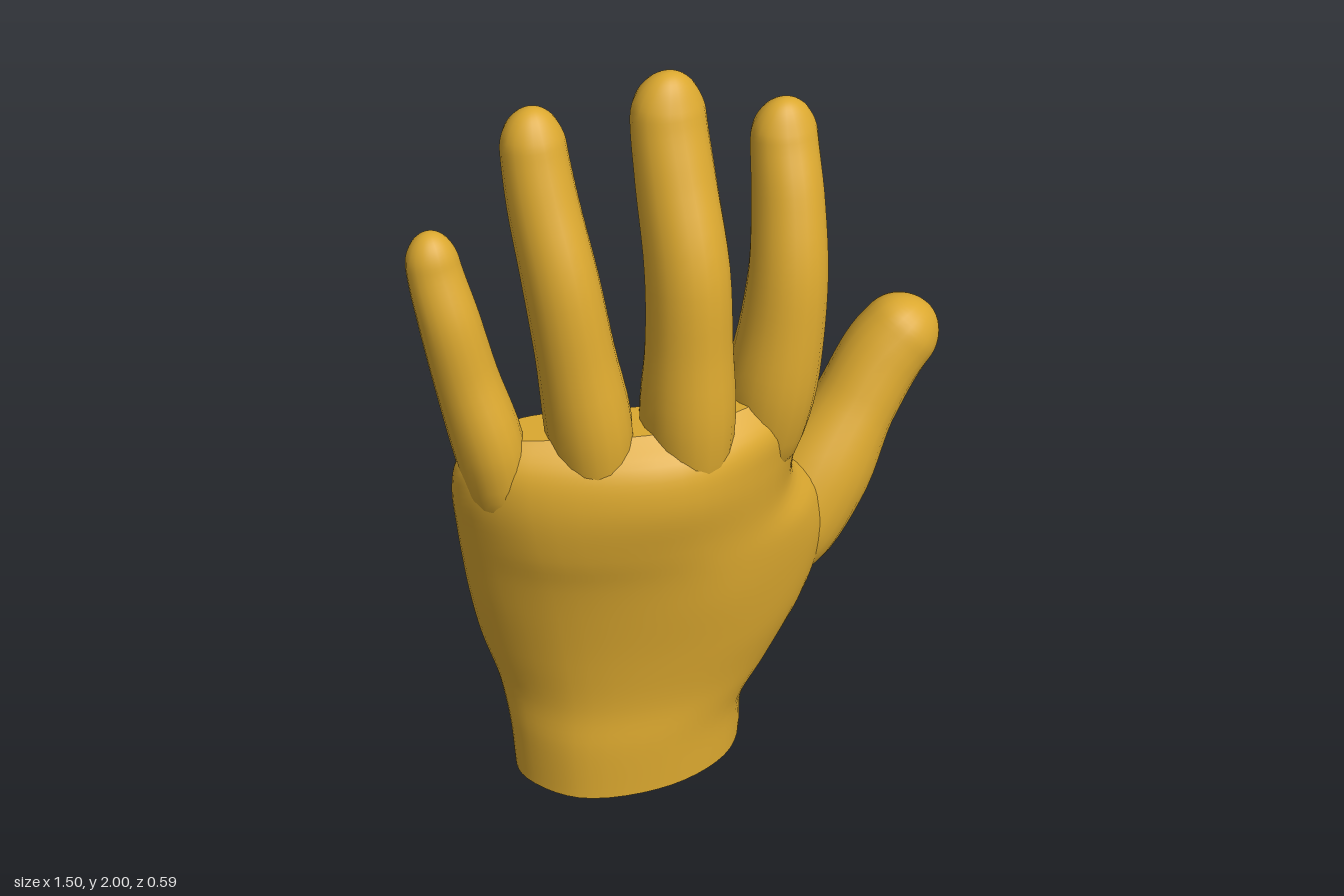
import * as THREE from 'three';

// Skins a stack of equal-length rings with smooth normals; optional cap on the last ring
function loft(rings, capTop) {
  const n = rings[0].length, pos = [], idx = [];
  rings.forEach(r => r.forEach(p => pos.push(p.x, p.y, p.z)));
  for (let i = 0; i < rings.length - 1; i++) {
    for (let j = 0; j < n; j++) {
      const a = i * n + j, b = i * n + (j + 1) % n;
      idx.push(a, b, b + n, a, b + n, a + n);
    }
  }
  if (capTop) addCap(pos, idx, rings[rings.length - 1], false);
  return makeGeometry(pos, idx);
}

// Flat fan with its own vertices, so the rim stays sharp
function addCap(pos, idx, ring, down) {
  const base = pos.length / 3, n = ring.length;
  const mid = ring.reduce((s, p) => s.add(p), new THREE.Vector3()).divideScalar(n);
  ring.forEach(p => pos.push(p.x, p.y, p.z));
  pos.push(mid.x, mid.y, mid.z);
  for (let j = 0; j < n; j++) {
    const a = base + j, b = base + (j + 1) % n;
    if (down) idx.push(base + n, b, a);
    else idx.push(base + n, a, b);
  }
}

function makeGeometry(pos, idx) {
  const g = new THREE.BufferGeometry();
  g.setAttribute('position', new THREE.Float32BufferAttribute(pos, 3));
  g.setIndex(idx);
  g.computeVertexNormals();
  return g;
}

// Rounded digit along stations of [x, y, z, half width, half depth]
function digit(stations, tipLength) {
  const path = new THREE.CatmullRomCurve3(stations.map(s => new THREE.Vector3(s[0], s[1], s[2])));
  const size = new THREE.CatmullRomCurve3(stations.map(s => new THREE.Vector3(s[3], s[4], 0)));
  const end = path.getPoint(1), rings = [], rows = 40, sides = 20;
  for (let i = 0; i <= rows; i++) {
    const t = 1 - (1 - i / rows) ** 1.8;
    const c = path.getPoint(t), tan = path.getTangent(t), r = size.getPoint(t);
    const side = new THREE.Vector3(1, 0, 0).addScaledVector(tan, -tan.x).normalize();
    const front = new THREE.Vector3().crossVectors(side, tan);
    const d = Math.min(1, c.distanceTo(end) / tipLength);
    const k = Math.max(0.001, Math.sqrt(1 - (1 - d) ** 2));
    rings.push(Array.from({ length: sides }, (_, j) => {
      const a = j / sides * Math.PI * 2;
      return c.clone().addScaledVector(side, Math.cos(a) * r.x * k)
        .addScaledVector(front, -Math.sin(a) * r.y * k);
    }));
  }
  return loft(rings, false);
}

// Palm rows: y, left x, right x, side z (2), knuckle-side z (3), palm-side z (4)
const PALM = [
  [0.00, -0.535, 0.115, -0.02, -0.04, 0.14, 0.20, 0.13, -0.18, -0.22, -0.23, -0.18],
  [0.15, -0.54, 0.13, -0.04, -0.04, 0.13, 0.20, 0.13, -0.20, -0.22, -0.23, -0.21],
  [0.27, -0.55, 0.25, -0.07, -0.09, 0.12, 0.20, 0.11, -0.27, -0.25, -0.27, -0.26],
  [0.42, -0.59, 0.36, -0.09, -0.09, 0.12, 0.22, 0.11, -0.30, -0.245, -0.285, -0.28],
  [0.58, -0.625, 0.40, -0.08, -0.07, 0.13, 0.245, 0.12, -0.26, -0.175, -0.22, -0.25],
  [0.70, -0.645, 0.36, -0.07, -0.06, 0.14, 0.26, 0.15, -0.22, -0.13, -0.15, -0.20],
  [0.81, -0.66, 0.245, -0.06, 0.01, 0.15, 0.275, 0.20, -0.19, -0.10, -0.10, -0.13],
  [0.95, -0.68, 0.23, -0.03, 0.08, 0.15, 0.295, 0.22, -0.13, -0.06, -0.04, -0.04],
  [1.05, -0.675, 0.235, 0.0, 0.11, 0.13, 0.275, 0.215, -0.08, -0.02, 0.01, 0.0],
  [1.12, -0.63, 0.20, 0.02, 0.11, 0.09, 0.20, 0.17, -0.02, 0.04, 0.07, 0.05],
];

function palmRings() {
  const mix = THREE.MathUtils.lerp;
  const controls = PALM.map(([y, xl, xr, zl, zr, f1, f2, f3, b1, b2, b3, b4]) =>
    [[1, zr], [0.94, mix(zr, b4, 0.65)], [0.8, b4], [0.6, b3], [0.43, b2], [0.2, b1],
      [0.06, mix(zl, b1, 0.72)], [0, zl], [0.15, f1], [0.53, f2], [0.85, f3]]
      .map(([u, z]) => new THREE.Vector3(mix(xl, xr, u), y, z)));
  const columns = controls[0].map((_, j) => new THREE.CatmullRomCurve3(controls.map(r => r[j])));
  const rows = 44, sides = 66;
  return Array.from({ length: rows + 1 }, (_, i) => {
    const ring = new THREE.CatmullRomCurve3(columns.map(c => c.getPoint(i / rows)), true);
    return Array.from({ length: sides }, (_, j) => ring.getPoint(j / sides));
  });
}

// Each digit: tip rounding length, then stations from a slim buried root to the tip
const DIGITS = {
  littleFinger: [0.08, [
    [-0.56, 0.82, 0.0, 0.03, 0.04], [-0.578, 0.97, 0.01, 0.08, 0.095],
    [-0.597, 1.10, 0.01, 0.088, 0.105], [-0.635, 1.28, -0.015, 0.08, 0.085],
    [-0.665, 1.44, -0.03, 0.075, 0.075], [-0.685, 1.57, -0.06, 0.067, 0.06],
    [-0.69, 1.665, -0.075, 0.06, 0.055]]],
  ringFinger: [0.10, [
    [-0.345, 0.82, 0.06, 0.04, 0.05], [-0.355, 0.98, 0.09, 0.095, 0.12],
    [-0.365, 1.14, 0.10, 0.107, 0.125], [-0.39, 1.34, 0.09, 0.097, 0.105],
    [-0.41, 1.53, 0.06, 0.092, 0.105], [-0.425, 1.72, 0.0, 0.086, 0.09],
    [-0.43, 1.86, -0.035, 0.08, 0.075], [-0.43, 1.95, -0.04, 0.075, 0.065]]],
  middleFinger: [0.11, [
    [-0.13, 0.82, 0.10, 0.04, 0.05], [-0.125, 0.98, 0.14, 0.105, 0.135],
    [-0.12, 1.14, 0.155, 0.117, 0.135], [-0.115, 1.34, 0.155, 0.107, 0.115],
    [-0.11, 1.53, 0.135, 0.103, 0.115], [-0.107, 1.74, 0.065, 0.098, 0.098],
    [-0.105, 1.90, 0.022, 0.093, 0.08], [-0.10, 2.0, 0.025, 0.085, 0.07]]],
  indexFinger: [0.10, [
    [0.09, 0.82, 0.07, 0.03, 0.04], [0.115, 0.98, 0.10, 0.098, 0.11],
    [0.135, 1.14, 0.115, 0.113, 0.125], [0.16, 1.30, 0.12, 0.105, 0.115],
    [0.18, 1.46, 0.11, 0.097, 0.105], [0.20, 1.63, 0.06, 0.09, 0.097],
    [0.21, 1.77, 0.017, 0.085, 0.077], [0.21, 1.865, 0.018, 0.08, 0.065]]],
  thumb: [0.10, [
    [0.08, 0.36, -0.09, 0.05, 0.05], [0.18, 0.45, -0.085, 0.12, 0.11],
    [0.285, 0.56, -0.075, 0.155, 0.14], [0.39, 0.695, -0.075, 0.142, 0.13],
    [0.505, 0.86, -0.10, 0.112, 0.115], [0.60, 0.99, -0.115, 0.112, 0.112],
    [0.715, 1.105, -0.105, 0.105, 0.095]]],
};

export function createModel() {
  const hand = new THREE.Group();
  hand.name = 'hand';
  const gold = new THREE.MeshStandardMaterial({ color: 0xdba82f });
  gold.name = 'golden';
  const add = (name, geometry) => {
    const mesh = new THREE.Mesh(geometry, gold);
    mesh.name = name;
    hand.add(mesh);
  };

  // Palm with heel and thumb pads, closed flat at the wrist
  const rings = palmRings();
  add('palm', loft(rings, true));
  const pos = [], idx = [];
  addCap(pos, idx, rings[0], true);
  add('wristCut', makeGeometry(pos, idx));

  // Fingers and thumb, rooted inside the palm
  for (const [name, [tip, stations]] of Object.entries(DIGITS)) add(name, digit(stations, tip));
  return hand;
}
